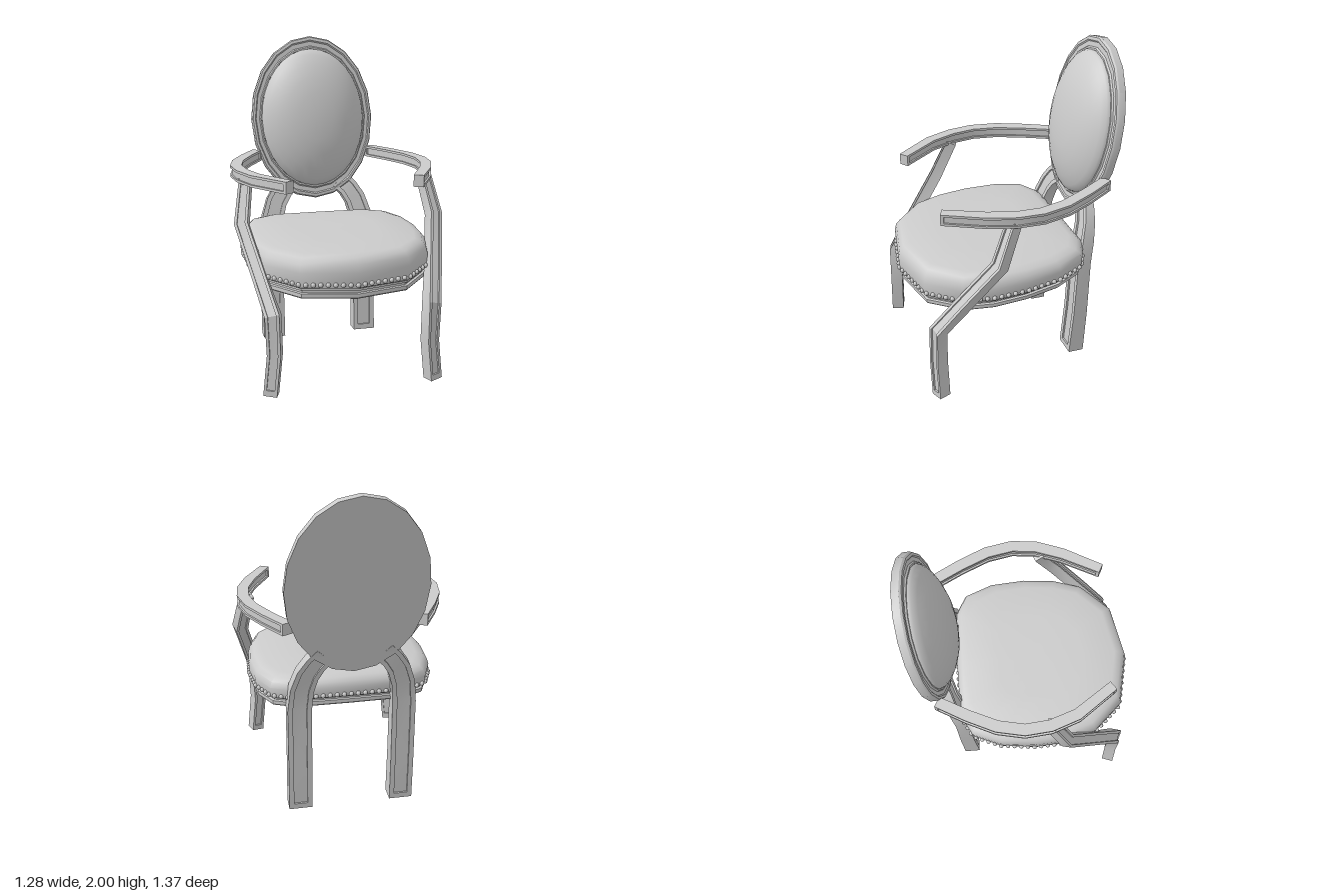
import * as THREE from 'three';
import { toCreasedNormals, mergeGeometries } from 'three/addons/utils/BufferGeometryUtils.js';

const V = (x, y, z) => new THREE.Vector3(x, y, z);
const material = new THREE.MeshStandardMaterial({ color: 0xcccccc });

function part(name, geometry, parent) {
  const mesh = new THREE.Mesh(geometry, material);
  mesh.name = name;
  parent.add(mesh);
  return mesh;
}

// Skin over a list of equal-length rings, closed at both ends
function loft(rings, crease) {
  const n = rings[0].length, last = rings.length - 1;
  const pos = [], index = [];
  rings.forEach(r => r.forEach(p => pos.push(p.x, p.y, p.z)));
  for (let i = 0; i < last; i++) {
    for (let j = 0; j < n; j++) {
      const k = (j + 1) % n;
      const a = i * n + j, b = i * n + k, c = b + n, d = a + n;
      index.push(a, b, c, a, c, d);
    }
  }
  [0, last].forEach((r, e) => {
    const mid = V(0, 0, 0);
    rings[r].forEach(p => mid.addScaledVector(p, 1 / n));
    const m = pos.length / 3;
    pos.push(mid.x, mid.y, mid.z);
    for (let j = 0; j < n; j++) {
      const a = r * n + j, b = r * n + (j + 1) % n;
      index.push(m, e ? a : b, e ? b : a);
    }
  });
  const g = new THREE.BufferGeometry();
  g.setAttribute('position', new THREE.Float32BufferAttribute(pos, 3));
  g.setIndex(index);
  g.computeVertexNormals();
  return toCreasedNormals(g, crease);
}

// Rectangular bar along a path, with a sunken panel on two opposite faces.
// Path rows are [x, y, z, width, depth]; across is the width direction.
function panelBar(path, across, rim = 0.035) {
  const pts = path.map(p => V(p[0], p[1], p[2]));
  const rings = [];
  const addRing = (i, shift, groove) => {
    const before = pts[Math.max(i - 1, 0)], after = pts[Math.min(i + 1, pts.length - 1)];
    const back = pts[i].clone().sub(before).normalize();
    const t = after.clone().sub(pts[i]).normalize().add(back).normalize();
    const d = t.clone().cross(across).normalize();
    const w = d.clone().cross(t);
    const hw = path[i][3] / 2, hd = path[i][4] / 2, b = hw * 0.42;
    const half = [[-hw, -hd], [b - hw, -hd], [b - hw, groove - hd],
      [hw - b, groove - hd], [hw - b, -hd], [hw, -hd]];
    const section = [...half, ...half.map(([u, v]) => [-u, -v])];
    rings.push(section.map(([u, v]) =>
      pts[i].clone().addScaledVector(t, shift).addScaledVector(w, u).addScaledVector(d, v)));
  };
  const end = pts.length - 1, depth = 0.011;
  addRing(0, 0, 0);
  addRing(0, rim, 0);
  addRing(0, rim, depth);
  for (let i = 1; i < end; i++) addRing(i, 0, depth);
  addRing(end, -rim, depth);
  addRing(end, -rim, 0);
  addRing(end, 0, 0);
  return loft(rings, 0.5);
}

// Seat outline, half as [x, z] from front to back, then mirrored
const halfSeat = [[0, 0.675], [0.32, 0.61], [0.49, 0.43], [0.545, 0.25], [0.56, 0.05],
  [0.54, -0.17], [0.47, -0.34], [0.34, -0.41], [0, -0.415]];
const seatOutline = [...halfSeat, ...halfSeat.slice(1, -1).reverse().map(([x, z]) => [-x, z])];
const SEAT_Z = 0.13;
const seatRing = ([s, y, tilt]) => seatOutline.map(([x, z]) =>
  V(x * s, y + (SEAT_Z - z) * tilt, SEAT_Z + (z - SEAT_Z) * s));

function buildSeat(parent) {
  const seat = new THREE.Group();
  seat.name = 'seat';
  parent.add(seat);
  // Moulded rail under the cushion
  part('seatRail', loft([[0.965, 0.638, 0.071], [0.975, 0.645, 0.071], [0.975, 0.667, 0.071],
    [0.95, 0.67, 0.071], [0.95, 0.683, 0.07], [0.975, 0.686, 0.069],
    [0.975, 0.71, 0.065]].map(seatRing), 0.5), seat);
  // Upholstered cushion
  part('seatCushion', loft([[0.97, 0.692, 0.06], [0.995, 0.7, 0.06], [1, 0.735, 0.05],
    [1.005, 0.775, 0.035], [0.985, 0.815, 0.02], [0.94, 0.843, 0.01], [0.86, 0.857, 0.01],
    [0.5, 0.868, 0.004], [0.15, 0.87, 0]].map(seatRing), 0.75), seat);
  // Row of round nail heads
  const ring = seatRing([1.003, 0.716, 0.055]);
  const row = new THREE.CurvePath();
  ring.forEach((p, i) => row.add(new THREE.LineCurve3(p, ring[(i + 1) % ring.length])));
  const count = 88, nails = [];
  for (let i = 0; i < count; i++) {
    const p = row.getPointAt(i / count);
    nails.push(new THREE.SphereGeometry(0.0145, 8, 6).translate(p.x, p.y, p.z));
  }
  part('nailHeads', mergeGeometries(nails), seat);
}

function buildBackrest(parent) {
  const back = new THREE.Group();
  back.name = 'backrest';
  back.position.set(0, 1.46, -0.583);
  back.rotation.x = -0.173;
  parent.add(back);
  // Oval disc turned from a profile, then stretched
  const oval = (profile, sides, crease) => toCreasedNormals(
    new THREE.LatheGeometry(profile.map(p => new THREE.Vector2(...p)), sides)
      .rotateX(Math.PI / 2).scale(0.41, 0.541, 1), crease);
  part('backFrame', oval([[0, 0], [1, 0], [1, 0.043], [0.985, 0.055], [0.95, 0.057],
    [0.935, 0.05], [0.88, 0.05], [0.865, 0.06], [0.845, 0.06], [0.835, 0.035], [0, 0.035]],
    20, 0.5), back);
  part('backCushion', oval([[0.835, 0.035], [0.84, 0.06], [0.82, 0.08], [0.76, 0.105],
    [0.64, 0.138], [0.48, 0.168], [0.28, 0.188], [0.1, 0.194], [0, 0.195]], 32, 0.8), back);
}

export function createModel() {
  const chair = new THREE.Group();
  chair.name = 'armchair';
  buildSeat(chair);
  buildBackrest(chair);

  for (const s of [1, -1]) {
    const side = s > 0 ? 'left' : 'right';
    const mirror = path => path.map(([x, ...rest]) => [x * s, ...rest]);

    // Front leg runs on upward as the arm support
    part(side + 'FrontLeg', panelBar(mirror([
      [0.49, 0.035, 0.585, 0.08, 0.075], [0.465, 0.28, 0.585, 0.08, 0.075],
      [0.472, 0.51, 0.582, 0.085, 0.075], [0.525, 0.7, 0.44, 0.08, 0.07],
      [0.592, 0.96, 0.24, 0.08, 0.07], [0.55, 1.205, 0.137, 0.07, 0.065],
    ]), V(0.94 * s, 0, -0.34)), chair);

    // Back leg curves inward to carry the oval
    part(side + 'BackLeg', panelBar(mirror([
      [0.315, 0, -0.38, 0.143, 0.1], [0.315, 0.3, -0.398, 0.143, 0.092],
      [0.315, 0.68, -0.408, 0.143, 0.085], [0.302, 0.82, -0.432, 0.14, 0.075],
      [0.27, 0.92, -0.455, 0.135, 0.065], [0.225, 0.99, -0.47, 0.13, 0.06],
      [0.17, 1.045, -0.485, 0.13, 0.05],
    ]), V(s, 0, 0)), chair);

    // Armrest bows outward and comes back in at the front
    const tip = s > 0 ? 0.397 : 0.356;
    part(side + 'Armrest', panelBar(mirror([
      [0.385, 1.23, -0.52, 0.07, 0.065], [0.48, 1.23, -0.345, 0.07, 0.068],
      [0.555, 1.23, -0.18, 0.07, 0.07], [0.587, 1.23, -0.02, 0.07, 0.07],
      [0.572, 1.23, 0.13, 0.07, 0.07], [0.515, 1.23, 0.29, 0.07, 0.068],
      [tip, 1.23, 0.515, 0.07, 0.06],
    ]), V(0, 1, 0), 0.02), chair);
  }
  return chair;
}
